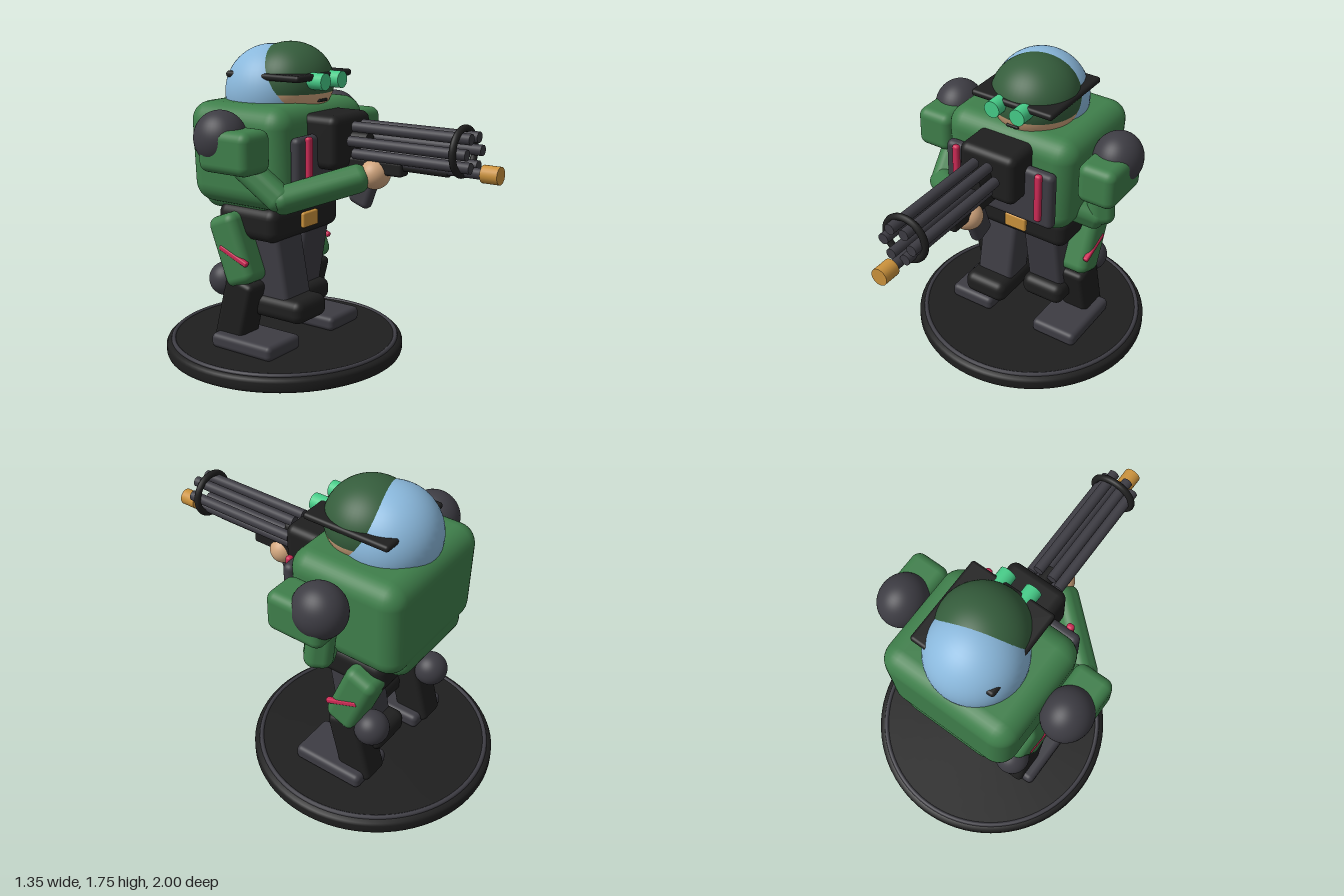
import * as THREE from 'three';
import { RoundedBoxGeometry } from 'three/addons/geometries/RoundedBoxGeometry.js';

export function createModel() {
  const model = new THREE.Group();
  const paint = (name, color, side = THREE.FrontSide) => {
    const m = new THREE.MeshStandardMaterial({ color, side });
    m.name = name;
    return m;
  };
  const green = paint('armour green', 0x3f7f4b);
  const darkGreen = paint('helmet green', 0x355d3c, THREE.DoubleSide);
  const blue = paint('pale blue', 0x8ab8dc);
  const skin = paint('skin', 0xd2a67e, THREE.DoubleSide);
  const black = paint('black', 0x1f1f1f);
  const grey = paint('dark grey', 0x3d3c43);
  const gold = paint('brass', 0xcb923c);
  const pink = paint('crimson', 0xcc2a55);
  const lens = paint('lens green', 0x46cc88);

  const add = (name, geo, mat, x = 0, y = 0, z = 0, rx = 0) => {
    const mesh = new THREE.Mesh(geo, mat);
    mesh.name = name;
    mesh.position.set(x, y, z);
    mesh.rotation.x = rx;
    model.add(mesh);
    return mesh;
  };
  const box = (w, h, d, r = 0.03) =>
    new RoundedBoxGeometry(w, h, d, 4, Math.min(r, w / 2.01, h / 2.01, d / 2.01));
  const ball = (name, mat, x, y, z, rx, ry = rx, rz = rx) =>
    add(name, new THREE.SphereGeometry(1, 40, 28), mat, x, y, z).scale.set(rx, ry, rz);
  // Rod lying along z from z0 to z1
  const rod = (name, mat, r, x, y, z0, z1) =>
    add(name, new THREE.CylinderGeometry(r, r, z1 - z0, 24), mat, x, y, (z0 + z1) / 2, Math.PI / 2);
  // Rounded limb stretched between two joints
  const limb = (name, mat, a, b, w) => {
    const p = new THREE.Vector3(...a), q = new THREE.Vector3(...b);
    const dir = q.clone().sub(p);
    const mid = p.clone().add(q).multiplyScalar(0.5);
    const m = add(name, box(w, dir.length() + w * 0.7, w, 0.055), mat, mid.x, mid.y, mid.z);
    m.quaternion.setFromUnitVectors(new THREE.Vector3(0, 1, 0), dir.normalize());
  };

  // Round stand with a raised trim ring
  const rim = [[0, 0], [0.655, 0], [0.67, 0.008], [0.675, 0.022], [0.675, 0.06], [0.668, 0.075],
    [0.65, 0.083], [0.62, 0.092], [0, 0.092]].map(p => new THREE.Vector2(...p));
  add('stand', new THREE.LatheGeometry(rim, 80), black, 0, 0, -0.325);
  add('standTrim', new THREE.TorusGeometry(0.635, 0.013, 10, 80), grey, 0, 0.087, -0.325, Math.PI / 2);

  // Armoured outer legs
  for (const s of [-1, 1]) {
    add('foot', box(0.28, 0.085, 0.42), grey, s * 0.285, 0.13, -0.305);
    add('shin', box(0.165, 0.4, 0.19), black, s * 0.285, 0.29, -0.405, 0.26);
    add('thigh', box(0.2, 0.4, 0.19, 0.05), green, s * 0.285, 0.645, -0.41, -0.37);
    add('thighStripe', box(0.03, 0.028, 0.2, 0.008), pink, s * 0.375, 0.627, -0.372, -0.37 + 0.75);
    ball('kneeJoint', grey, s * 0.29, 0.455, -0.505, 0.095);
  }
  // Pilot legs, one stepping forward and one back
  for (const s of [-1, 1]) {
    add('trouserLeg', box(0.225, 0.47, 0.2), grey, s * 0.133, 0.545, -0.28 - s * 0.035, s * 0.18);
    add('boot', box(0.265, 0.13, 0.35, 0.05), black, s * 0.138, 0.32 - s * 0.007, -0.275 - s * 0.09);
  }

  // Belt and buckle
  add('belt', box(0.605, 0.19, 0.41, 0.06), black, 0, 0.792, -0.355);
  add('buckle', box(0.135, 0.085, 0.04, 0.01), gold, 0, 0.792, -0.15);

  // Torso tapering toward the waist
  const torsoGeo = box(0.8, 0.555, 0.66, 0.11);
  const tp = torsoGeo.attributes.position;
  for (let i = 0; i < tp.count; i++) tp.setX(i, tp.getX(i) * (0.965 + 0.13 * tp.getY(i)));
  add('torso', torsoGeo, green, 0, 1.165, -0.355);
  add('lowerTorso', box(0.58, 0.2, 0.5, 0.08), green, 0, 0.94, -0.43);

  // Chest plate with stripes
  add('chestPlate', box(0.665, 0.33, 0.065), grey, 0, 1.133, 0.007);
  for (const s of [-1, 1])
    add('chestStripe', box(0.04, 0.285, 0.035, 0.015), pink, s * 0.255, 1.157, 0.047);

  // Shoulders
  for (const s of [-1, 1]) {
    ball('shoulderJoint', grey, s * 0.503, 1.29, -0.33, 0.132, 0.145, 0.145);
    add('shoulderPad', box(0.215, 0.225, 0.33, 0.05), green, s * 0.505, 1.235, -0.24);
  }
  // Arms: the right one supports the gun, the left one folds under the torso
  limb('rightUpperArm', green, [-0.44, 1.14, -0.22], [-0.4, 0.99, -0.03], 0.14);
  limb('rightForearm', green, [-0.4, 0.985, -0.02], [-0.09, 1.08, 0.24], 0.14);
  ball('hand', skin, -0.015, 1.097, 0.295, 0.09, 0.08, 0.078);
  limb('leftUpperArm', green, [0.43, 1.15, -0.29], [0.45, 0.95, -0.28], 0.15);
  limb('leftForearm', green, [0.43, 0.94, -0.27], [0.25, 1.0, -0.2], 0.15);

  // Rotary gun
  const gunY = 1.267;
  add('gunHousing', box(0.34, 0.285, 0.24, 0.045), black, 0, 1.255, 0.03);
  rod('gunHub', black, 0.04, 0, gunY, 0.1, 0.25);
  for (let i = 0; i < 6; i++) {
    const a = i * Math.PI / 3;
    rod('barrel', grey, 0.028, 0.082 * Math.cos(a), gunY + 0.082 * Math.sin(a), 0.18, 0.86);
  }
  add('barrelClamp', new THREE.TorusGeometry(0.115, 0.018, 12, 48), black, 0, gunY, 0.797);
  rod('lowerBarrel', grey, 0.028, 0, 1.168, 0.1, 0.93);
  rod('muzzle', gold, 0.045, 0, 1.17, 0.908, 1);
  rod('lowerTube', black, 0.024, 0, 1.152, 0.4, 0.72);
  add('gunRail', box(0.08, 0.075, 0.41, 0.015), black, 0, 1.137, 0.26);
  add('gunGrip', box(0.07, 0.2, 0.13, 0.03), grey, 0, 1.01, 0.22, 0.35);

  // Head: blue rear shell, green dome and face
  ball('rearShell', blue, -0.005, 1.475, -0.385, 0.261);
  const headPart = (name, mat, start, len) =>
    add(name, new THREE.SphereGeometry(1, 48, 24, 0, Math.PI * 2, start, len), mat, 0.025, 1.535, -0.285)
      .scale.set(0.24, 0.215, 0.235);
  headPart('helmetDome', darkGreen, 0, 1.8);
  headPart('face', skin, 1.8, Math.PI - 1.8);
  add('mouth', box(0.073, 0.016, 0.025, 0.006), black, 0.022, 1.448, -0.072);
  add('visorPlate', box(0.488, 0.036, 0.495, 0.017), black, 0.022, 1.578, -0.293);
  for (const x of [-0.055, 0.095]) rod('goggle', lens, 0.045, x, 1.556, -0.12, 0.008);

  return model;
}
